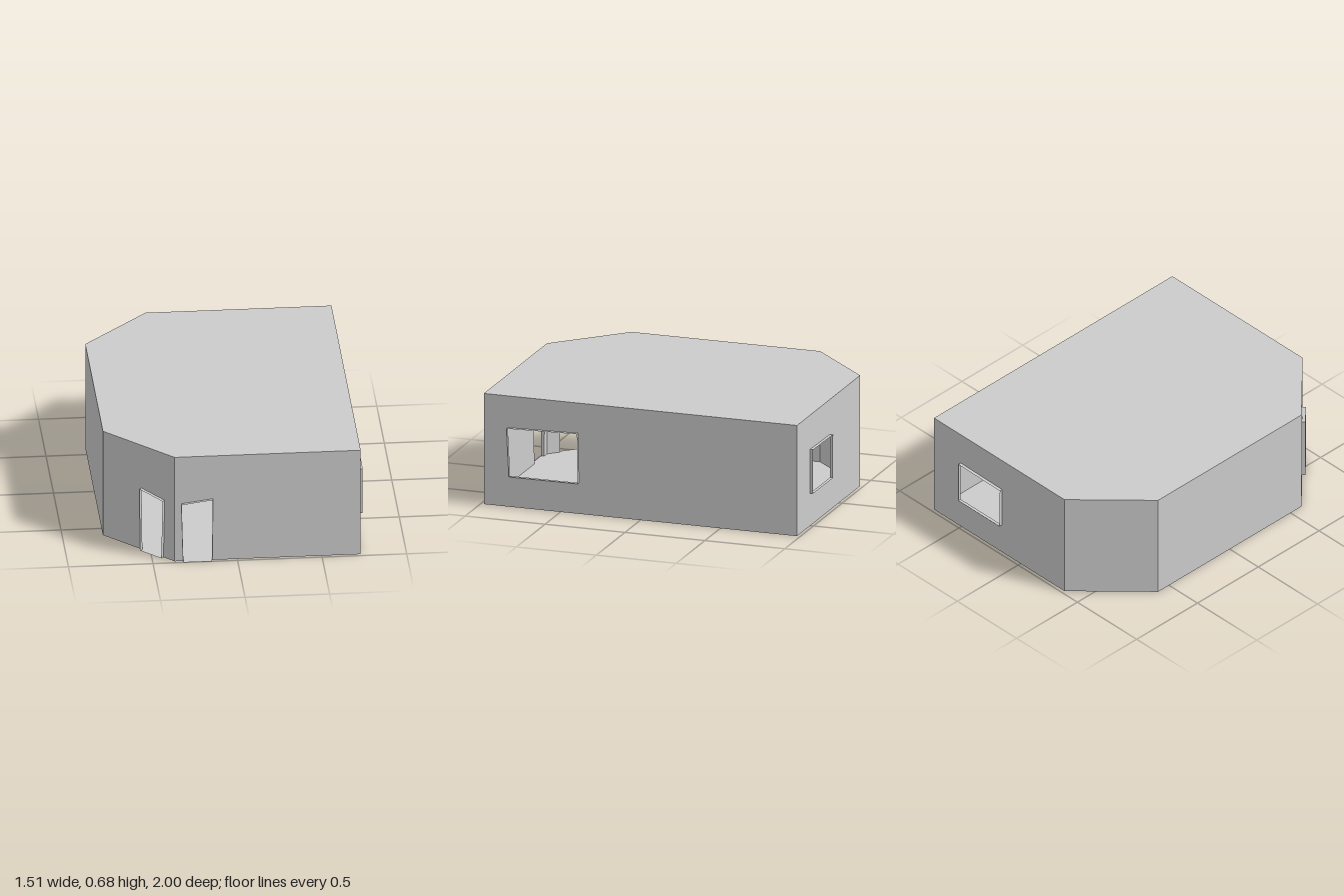
import * as THREE from 'three';

const HEIGHT = 0.68;
const material = new THREE.MeshStandardMaterial({ color: 0xcccccc, flatShading: true, side: THREE.DoubleSide });

// Corners as [x, z], anticlockwise from above, starting at the left end of the front wall.
const footprint = [[-0.37, 0.98], [0.73, 0.98], [0.73, -0.98], [-0.37, -0.98], [-0.76, -0.59], [-0.76, 0.59]];

// One wall per footprint edge. Opening corners [u, y]: bottom left, top left, top right, bottom right.
const walls = [
  { name: 'frontWall', trim: 'frontDoorFrame', depth: 0.02, opening: [[0.05, 0], [0.04, 0.375], [0.225, 0.4], [0.22, 0]] },
  { name: 'leftWall', trim: 'leftWindowFrame', depth: 0.025, opening: [[0.165, 0.19], [0.15, 0.485], [0.59, 0.495], [0.595, 0.19]] },
  { name: 'backWall', trim: 'backWindowFrame', depth: 0.02, opening: [[0.225, 0.2], [0.225, 0.47], [0.575, 0.465], [0.572, 0.2]] },
  { name: 'backCornerWall' },
  { name: 'rightWall' },
  { name: 'cornerWall', trim: 'cornerDoorFrame', depth: 0.02, opening: [[0.303, 0], [0.297, 0.4], [0.475, 0.375], [0.465, 0]] },
];

const toPoints = (list) => list.map(([x, y]) => new THREE.Vector2(x, y));

function part(name, geometry) {
  const mesh = new THREE.Mesh(geometry, material);
  mesh.name = name;
  return mesh;
}

// Flat panel: doors notch the lower edge, windows are holes.
function panelGeometry(length, opening) {
  const isDoor = opening && opening[0][1] === 0;
  const outline = [[0, 0], ...(isDoor ? opening : []), [length, 0], [length, HEIGHT], [0, HEIGHT]];
  const shape = new THREE.Shape(toPoints(outline));
  if (opening && !isDoor) shape.holes.push(new THREE.Path(toPoints(opening)));
  return new THREE.ShapeGeometry(shape);
}

// Thin sleeve around an opening, standing out from the wall.
function sleeveGeometry(opening, depth) {
  const positions = [];
  opening.forEach(([ax, ay], i) => {
    const [bx, by] = opening[(i + 1) % opening.length];
    positions.push(ax, ay, 0, ax, ay, depth, bx, by, depth);
    positions.push(ax, ay, 0, bx, by, depth, bx, by, 0);
  });
  const geometry = new THREE.BufferGeometry();
  geometry.setAttribute('position', new THREE.Float32BufferAttribute(positions, 3));
  geometry.computeVertexNormals();
  return geometry;
}

export function createModel() {
  const model = new THREE.Group();
  model.name = 'room';

  // Walls with their openings and frames
  walls.forEach(({ name, trim, depth, opening }, i) => {
    const [ax, az] = footprint[i];
    const [bx, bz] = footprint[(i + 1) % footprint.length];
    const side = new THREE.Group();
    side.name = name + 'Side';
    side.position.set(ax, 0, az);
    side.rotation.y = Math.atan2(az - bz, bx - ax);
    side.add(part(name, panelGeometry(Math.hypot(bx - ax, bz - az), opening)));
    if (opening) side.add(part(trim, sleeveGeometry(opening, depth)));
    model.add(side);
  });

  // Floor and flat roof share the footprint
  const plan = new THREE.Shape(toPoints(footprint));
  model.add(part('floor', new THREE.ShapeGeometry(plan).rotateX(Math.PI / 2)));
  model.add(part('roof', new THREE.ShapeGeometry(plan).rotateX(-Math.PI / 2).translate(0, HEIGHT, 0)));

  return model;
}
